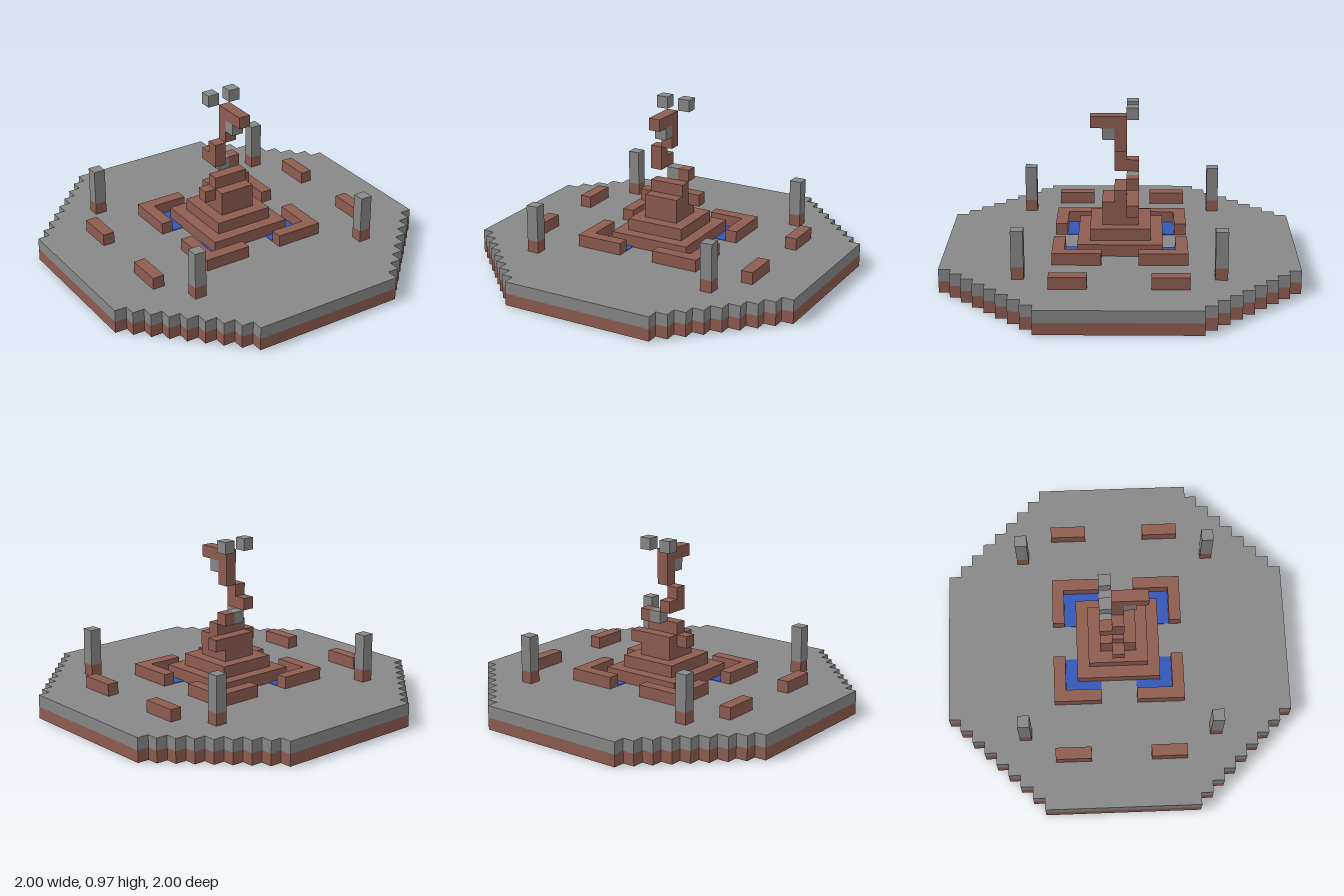
import * as THREE from 'three';

const U = 2 / 29; // one block

export function createModel() {
  const model = new THREE.Group();
  model.name = 'plazaWithStatue';
  const material = (name, color) => {
    const m = new THREE.MeshStandardMaterial({ color });
    m.name = name;
    return m;
  };
  const stone = material('grey stone', 0x888888);
  const brick = material('brown brick', 0x8e5c50);
  const water = material('blue water', 0x3558b8);

  // Box over an inclusive range of block cells; y counts levels from the ground
  const blocks = (parent, name, mat, [x0, x1], [y0, y1], [z0, z1]) => {
    const w = x1 - x0 + 1, h = y1 - y0 + 1, d = z1 - z0 + 1;
    const mesh = new THREE.Mesh(new THREE.BoxGeometry(w * U, h * U, d * U), mat);
    mesh.position.set((x0 + x1) / 2 * U, (y0 + h / 2) * U, (z0 + z1) / 2 * U);
    mesh.name = name;
    parent.add(mesh);
    return mesh;
  };
  const span = (a, b, s) => (s > 0 ? [a, b] : [-b, -a]);
  const group = (name) => {
    const g = new THREE.Group();
    g.name = name;
    model.add(g);
    return g;
  };

  // Octagonal platform with stepped diagonals, in two layers
  const outline = [];
  for (let i = 0; i <= 8; i++) outline.push([14.5 - i, 6.5 + i], [13.5 - i, 6.5 + i]);
  outline.pop();
  const points = [];
  for (let q = 0; q < 4; q++) {
    const c = [1, 0, -1, 0][q], s = [0, 1, 0, -1][q];
    for (const [x, y] of outline) points.push(new THREE.Vector2((x * c - y * s) * U, (x * s + y * c) * U));
  }
  const layer = new THREE.ExtrudeGeometry(new THREE.Shape(points), { depth: U, bevelEnabled: false });
  layer.rotateX(-Math.PI / 2);
  [['platformBase', brick], ['platformPaving', stone]].forEach(([name, mat], i) => {
    const mesh = new THREE.Mesh(layer, mat);
    mesh.name = name;
    mesh.position.y = i * U;
    model.add(mesh);
  });

  // Four matching quarters: post, bench, pool and its L-shaped wall
  for (const sx of [-1, 1]) for (const sz of [-1, 1]) {
    const quarter = group('quarter');
    blocks(quarter, 'postFoot', brick, [8 * sx, 8 * sx], [2, 2], [8 * sz, 8 * sz]);
    blocks(quarter, 'post', stone, [8 * sx, 8 * sx], [3, 5], [8 * sz, 8 * sz]);
    blocks(quarter, 'bench', brick, [10 * sx, 10 * sx], [2, 2], span(3, 5, sz));
    blocks(quarter, 'poolWall', brick, span(2, 5, sx), [2, 2], [5 * sz, 5 * sz]);
    blocks(quarter, 'poolWall', brick, [5 * sx, 5 * sx], [2, 2], span(2, 4, sz));
    const pool = blocks(quarter, 'poolWater', water, span(2, 4, sx), [2, 2], span(2, 4, sz));
    pool.scale.y = 0.05;
    pool.position.y = 2.025 * U;
  }

  // Stepped plinth
  const plinth = group('plinth');
  blocks(plinth, 'lowerStep', brick, [-3, 3], [2, 2], [-3, 3]);
  blocks(plinth, 'upperStep', brick, [-2, 2], [3, 3], [-2, 2]);
  blocks(plinth, 'pedestal', brick, [-1, 1], [4, 5], [-1, 1]);
  blocks(plinth, 'leftKnob', brick, [2, 2], [5, 5], [-1, -1]);
  blocks(plinth, 'rightKnob', brick, [-2, -2], [5, 5], [0, 0]);

  // Twisting statue
  const statue = group('statue');
  blocks(statue, 'foot', brick, [-1, 1], [6, 6], [0, 0]);
  blocks(statue, 'firstCoil', brick, [1, 1], [7, 7], [-1, -1]);
  blocks(statue, 'coilStone', stone, [0, 0], [7, 7], [-1, -1]);
  blocks(statue, 'secondCoil', brick, [-1, -1], [8, 8], [-1, -1]);
  blocks(statue, 'body', brick, [-1, -1], [8, 9], [0, 0]);
  blocks(statue, 'neck', brick, [0, 0], [10, 11], [0, 0]);
  blocks(statue, 'head', brick, [0, 0], [12, 12], [0, 2]);
  blocks(statue, 'jaw', stone, [0, 0], [11, 11], [1, 1]);
  for (const s of [-1, 1]) blocks(statue, 'horn', stone, [s, s], [13, 13], [-1, -1]);

  return model;
}
